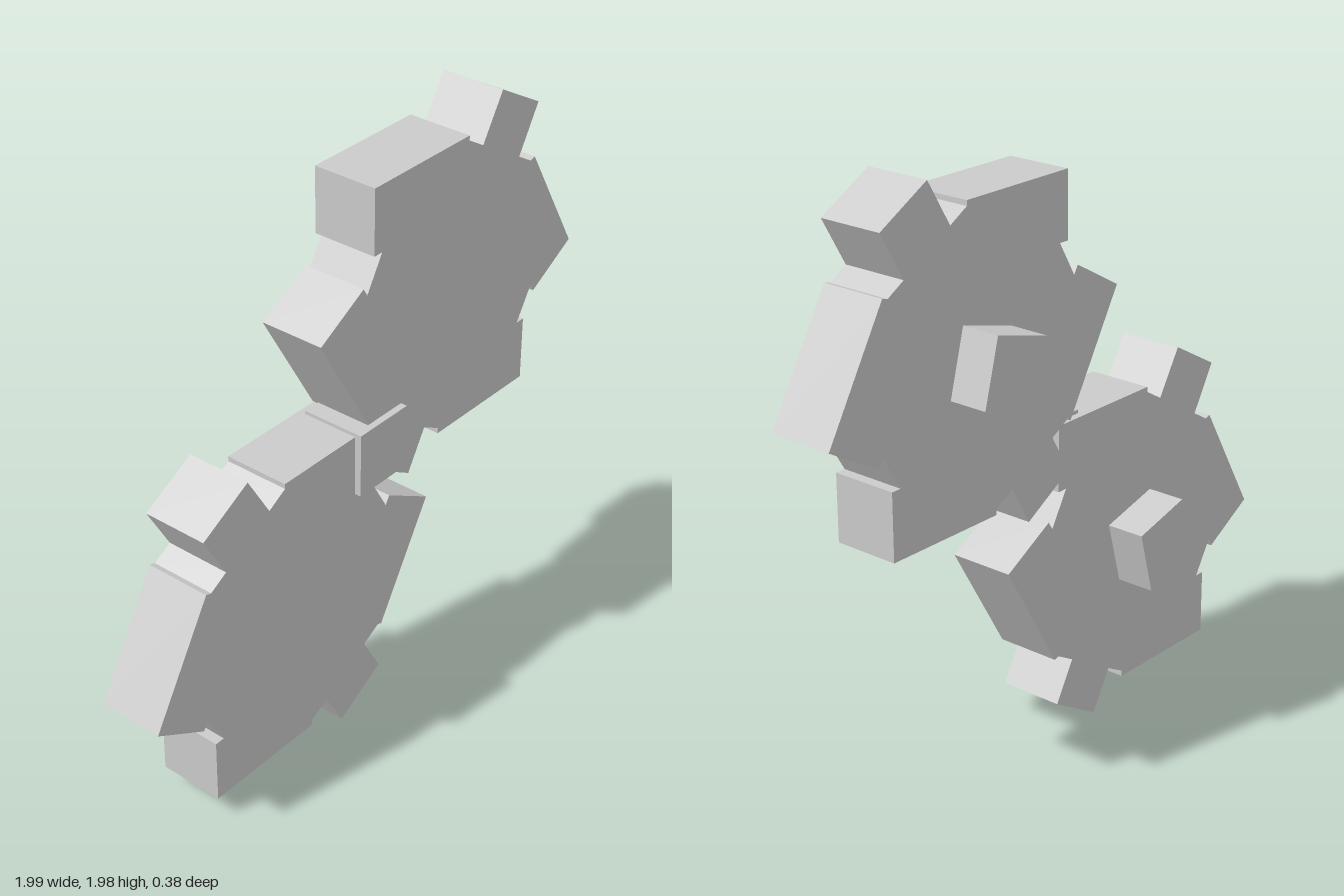
import * as THREE from 'three';

const material = new THREE.MeshStandardMaterial({ color: 0xcccccc, flatShading: true });

// Toothed outline of the upper gear, clockwise from the upper left corner
const OUTLINE = [
  [-0.02, 1.89], [0.425, 1.89], [0.425, 1.873], [0.495, 1.832],
  [0.585, 1.982], [0.776, 1.875], [0.687, 1.72], [0.752, 1.682], [0.773, 1.688],
  [0.997, 1.303], [0.806, 1.193], [0.79, 1.222], [0.722, 1.108],
  [0.757, 1.108], [0.757, 0.886], [0.312, 0.886], [0.312, 0.906], [0.24, 0.945],
  [0.163, 0.811], [-0.026, 0.922], [0.05, 1.055], [-0.019, 1.094], [-0.037, 1.088],
  [-0.26, 1.473], [-0.068, 1.582], [-0.051, 1.554], [0.016, 1.669], [-0.02, 1.669],
];
const BACK = -0.057, THICK = 0.224, CUBE = 0.222;

function addCube(parent, name, x, y, z, angle = 0) {
  const cube = new THREE.Mesh(new THREE.BoxGeometry(CUBE, CUBE, CUBE), material);
  cube.name = name;
  cube.position.set(x, y, z);
  cube.rotation.z = angle;
  parent.add(cube);
}

// side = 1 gives the outline as drawn, side = -1 its mirror image
function makeGear(name, side, dy) {
  const gear = new THREE.Group();
  gear.name = name;
  const shape = new THREE.Shape(OUTLINE.map(([x, y]) => new THREE.Vector2(side * x, y + dy)));
  const plate = new THREE.Mesh(
    new THREE.ExtrudeGeometry(shape, { depth: THICK, bevelEnabled: false }), material);
  plate.name = 'toothedPlate';
  plate.position.z = BACK;
  gear.add(plate);
  // square axle peg on the back
  addCube(gear, 'axlePeg', side * 0.37, 1.389 + dy, -0.19 + CUBE / 2, side * Math.PI / 12);
  return gear;
}

export function createModel() {
  const model = new THREE.Group();
  model.name = 'gearPair';
  model.add(makeGear('upperGear', 1, 0), makeGear('lowerGear', -1, -0.806));
  // block where the two gears mesh, standing slightly proud of the front
  addCube(model, 'meshingBlock', 0.008, 0.985, 0.19 - CUBE / 2);
  return model;
}
